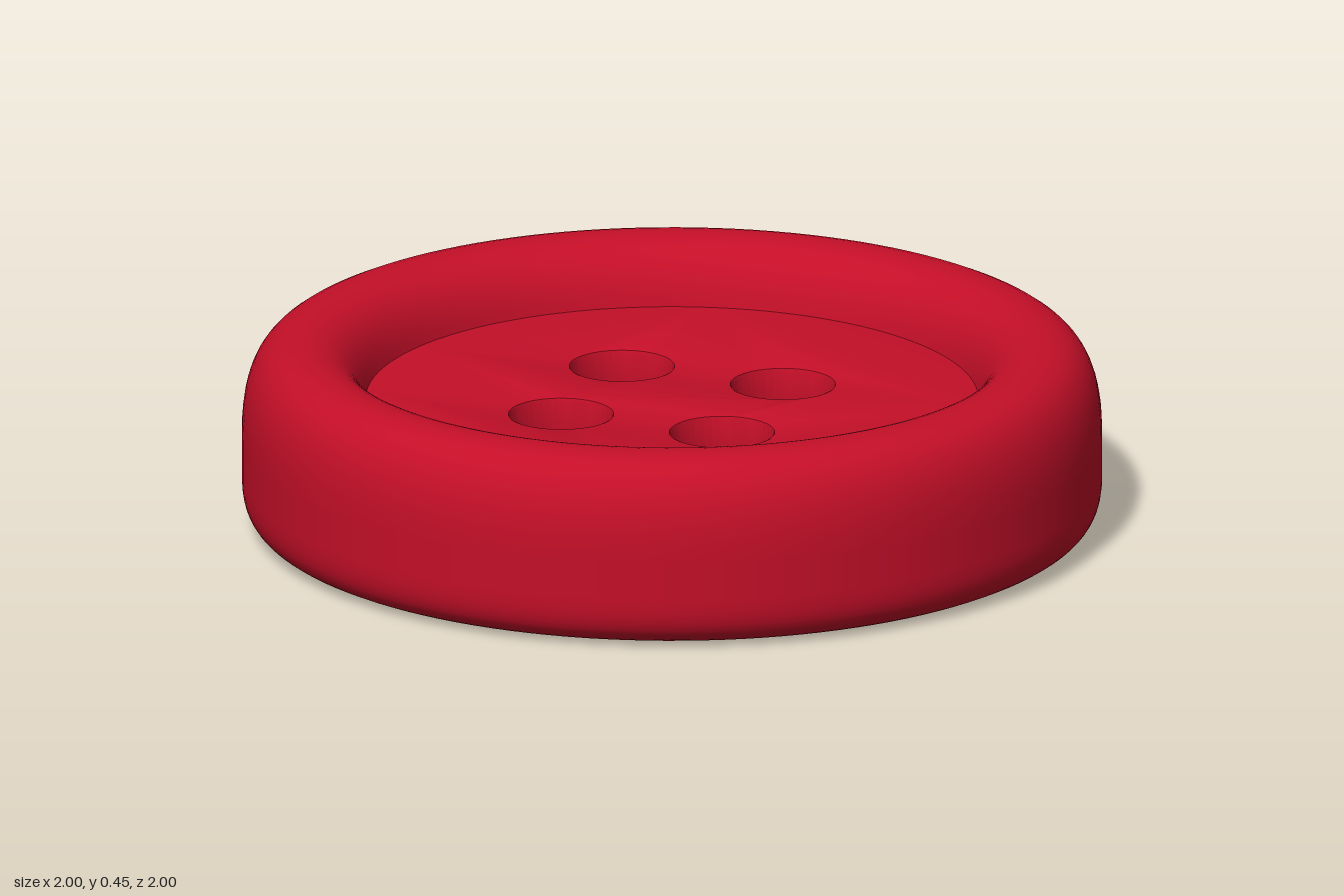
import * as THREE from 'three';
import { toCreasedNormals } from 'three/addons/utils/BufferGeometryUtils.js';

const v = (x, y) => new THREE.Vector2(x, y);

export function createModel() {
  const group = new THREE.Group();
  group.name = 'button';
  const red = new THREE.MeshStandardMaterial({ color: 0xc40f28 });
  red.name = 'button red';

  // Rounded rim: cross-section from the lower inner edge, round the outside, to the upper inner edge
  const section = new THREE.CurvePath();
  const bend = (a, b, c, d) => section.add(new THREE.CubicBezierCurve(v(...a), v(...b), v(...c), v(...d)));
  bend([0.74, 0.137], [0.755, 0.06], [0.8, 0.003], [0.87, 0.003]);
  bend([0.87, 0.003], [0.96, 0.003], [1, 0.03], [1, 0.12]);
  bend([1, 0.12], [1, 0.16], [1, 0.2], [1, 0.23]);
  bend([1, 0.23], [1, 0.36], [0.965, 0.45], [0.86, 0.45]);
  bend([0.86, 0.45], [0.78, 0.45], [0.73, 0.4], [0.712, 0.31]);
  const profile = section.curves.flatMap((c, i) => c.getPoints(12).slice(i ? 1 : 0));
  const rim = new THREE.Mesh(new THREE.LatheGeometry(profile, 128), red);
  rim.name = 'rim';
  group.add(rim);

  // Sunken centre plate with four thread holes, its edge buried in the rim
  const bevel = 0.008;
  const disc = new THREE.Shape().absarc(0, 0, 0.74, 0, Math.PI * 2, false);
  for (const x of [-0.2, 0.2]) {
    for (const y of [-0.2, 0.2]) {
      disc.holes.push(new THREE.Path().absarc(x, y, 0.12 + bevel, 0, Math.PI * 2, true));
    }
  }
  const plateGeometry = new THREE.ExtrudeGeometry(disc, {
    depth: 0.173 - 2 * bevel, curveSegments: 64,
    bevelEnabled: true, bevelThickness: bevel, bevelSize: bevel, bevelSegments: 2,
  });
  plateGeometry.rotateX(-Math.PI / 2).translate(0, 0.137 + bevel, 0);
  const plate = new THREE.Mesh(toCreasedNormals(plateGeometry, 0.5), red);
  plate.name = 'centrePlate';
  group.add(plate);

  return group;
}
